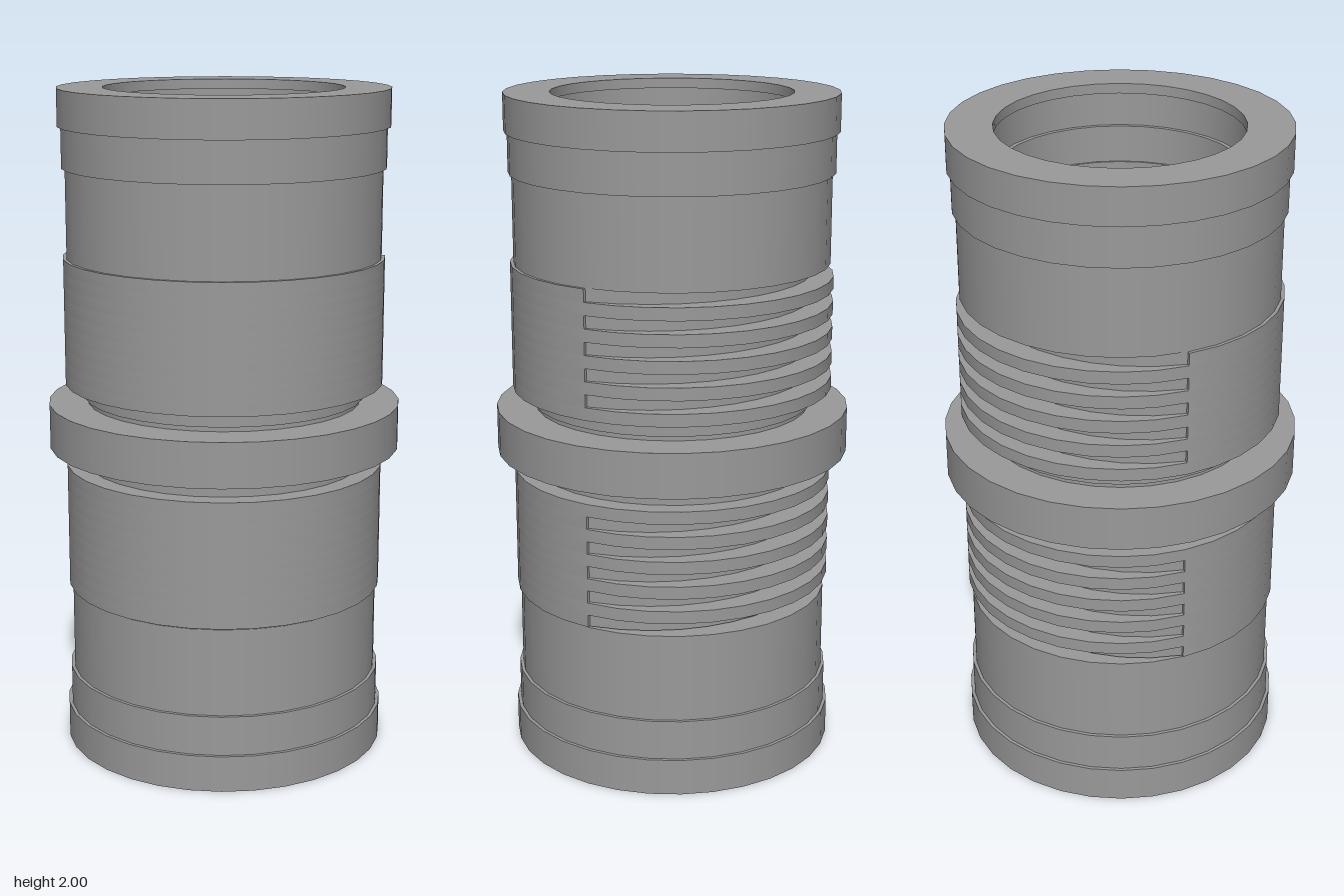
import * as THREE from 'three';
import { mergeGeometries, toCreasedNormals } from 'three/addons/utils/BufferGeometryUtils.js';

const SIDES = 32;
const STEP = (Math.PI * 2) / SIDES;

// Turned surface, smooth around and sharp at every profile corner
function turned(profile) {
  const bands = [];
  for (let i = 0; i < profile.length - 1; i++) {
    const pair = [profile[i], profile[i + 1]].map(([r, y]) => new THREE.Vector2(r, y));
    bands.push(new THREE.LatheGeometry(pair, SIDES));
  }
  return mergeGeometries(bands);
}

// Horizontal ring slice from an outline, with a hidden round hole
function slice(points, y, height) {
  const shape = new THREE.Shape(points);
  const hole = new THREE.Path();
  hole.absarc(0, 0, 0.39, 0, Math.PI * 2, true);
  shape.holes.push(hole);
  const geo = new THREE.ExtrudeGeometry(shape, { depth: height, bevelEnabled: false, curveSegments: 12 });
  geo.rotateX(-Math.PI / 2).translate(0, y, 0);
  return toCreasedNormals(geo, 0.5);
}

const polar = (r, a) => new THREE.Vector2(r * Math.cos(a), r * Math.sin(a));

// Outline of a grip slice; the grooved one is cut by an off-centre arc
function gripOutline(grooved) {
  const first = -2, last = 13, R = 0.48;
  const middle = ((first + last) / 2) * STEP;
  const points = [];
  for (let i = first; i < first + SIDES; i++) {
    const a = i * STEP;
    const cut = 0.477 - 0.073 * Math.cos(a - middle);
    if (!grooved || i > last) points.push(polar(R, a));
    else if (i === first) points.push(polar(R, a), polar(cut, a));
    else if (i === last) points.push(polar(cut, a), polar(R, a));
    else points.push(polar(cut, a));
  }
  return points;
}

export function createModel() {
  const model = new THREE.Group();
  model.name = 'ribbedCoupling';
  const grey = new THREE.MeshStandardMaterial({ color: 0x9a9a9a });
  grey.name = 'grey';

  const add = (name, geometry) => {
    const mesh = new THREE.Mesh(geometry, grey);
    mesh.name = name;
    model.add(mesh);
  };

  // Upper half: flange, neck, sleeve, stepped end collar, bore and inner floor
  const upper = [
    [0.53, 1], [0.53, 1.067], [0.412, 1.067], [0.412, 1.082], [0.422, 1.082], [0.422, 1.13],
    [0.4, 1.13], [0.4, 1.505], [0.47, 1.505], [0.47, 1.77], [0.48, 1.77], [0.48, 1.89],
    [0.49, 1.89], [0.49, 2], [0.355, 2], [0.355, 1.97], [0.365, 1.97], [0.365, 1.87],
    [0.352, 1.87], [0.352, 1.76], [0.346, 1.76], [0.346, 1.067], [0, 1.067],
  ];
  const lower = upper.map(([r, y]) => [r, 2 - y]).reverse();
  add('upperBody', turned(upper));
  add('lowerBody', turned(lower));

  // Grips: five ribs and five grooves on each half, running away from the flange
  const rib = gripOutline(false);
  const groove = gripOutline(true);
  const layer = 0.0378;
  for (const side of [1, -1]) {
    const layers = [];
    for (let i = 0; i < 10; i++) {
      const y = side > 0 ? 1.127 + i * layer : 0.878 - (i + 1) * layer;
      layers.push(slice(i % 2 ? groove : rib, y, layer));
    }
    add(side > 0 ? 'upperGrip' : 'lowerGrip', mergeGeometries(layers));
  }
  return model;
}
